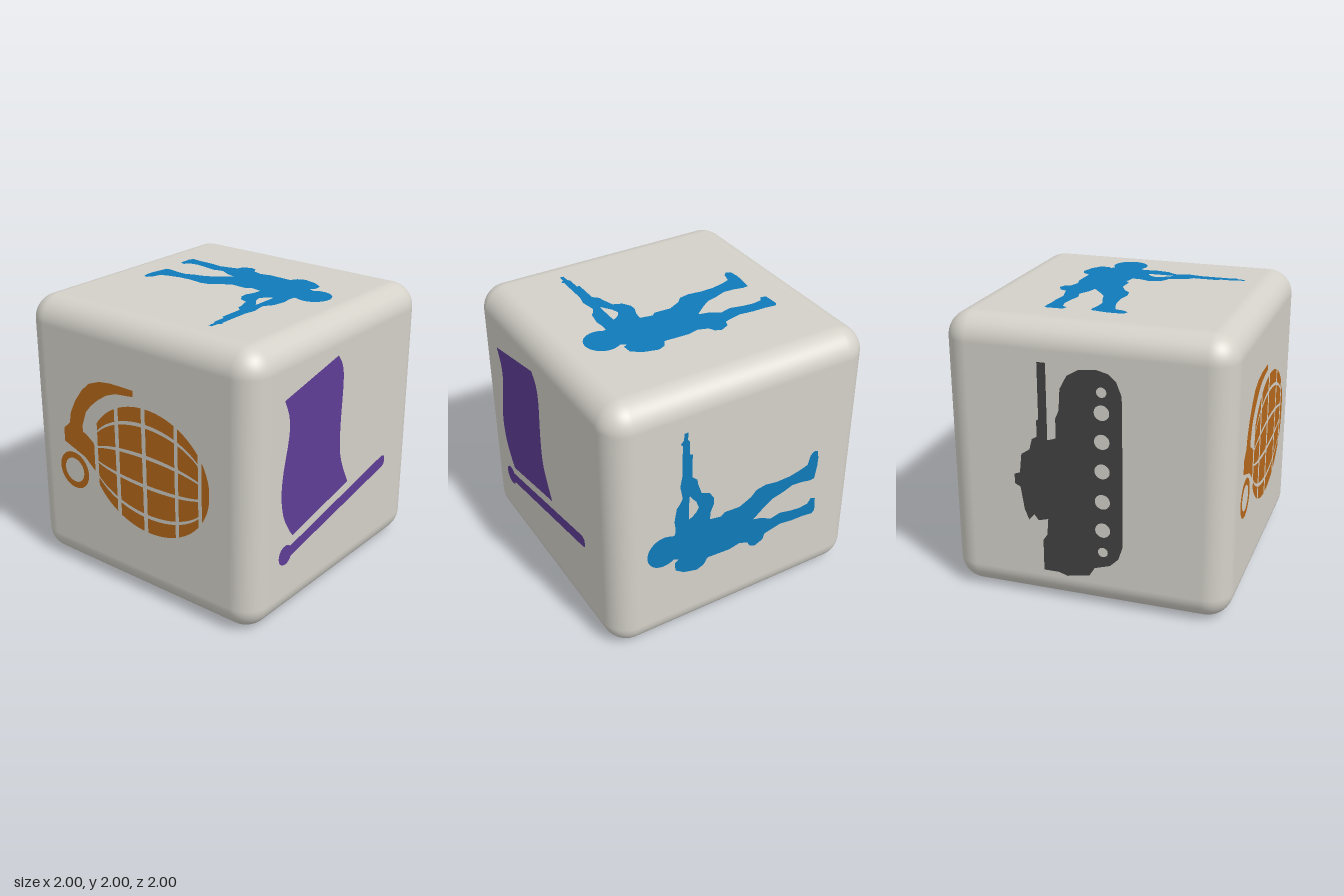
import * as THREE from 'three';
import { RoundedBoxGeometry } from 'three/addons/geometries/RoundedBoxGeometry.js';

const paint = (name, color) => {
  const m = new THREE.MeshStandardMaterial({ color });
  m.name = name;
  return m;
};

// Outline given in hundredths of a unit
const poly = (pts) => new THREE.Shape(pts.map(([x, y]) => new THREE.Vector2(x / 100, y / 100)));
const disc = (x, y, r, Kind = THREE.Shape) => new Kind().absarc(x, y, r, 0, Math.PI * 2, false);

function plate(group, name, shape, material) {
  const mesh = new THREE.Mesh(new THREE.ShapeGeometry(shape, 24), material);
  mesh.name = name;
  group.add(mesh);
}

// A painted face: local x is right, y is up, and the normal points out of the cube
function face(parent, name, rx, ry) {
  const pivot = new THREE.Group();
  pivot.name = name;
  pivot.rotation.set(rx, ry, 0);
  const group = new THREE.Group();
  group.position.z = 1;
  pivot.add(group);
  parent.add(pivot);
  return group;
}

function addFlag(g, mat) {
  // Waving cloth between two splined edges
  const edge = (pts) => new THREE.SplineCurve(pts.map(([x, y]) => new THREE.Vector2(x / 100, y / 100))).getPoints(24);
  const left = edge([[-67.4, 61.5], [-62.2, 49], [-62, 35], [-67.5, 11], [-69, -5], [-66.5, -20], [-60.5, -32], [-55.5, -39]]);
  const right = edge([[10, -25], [1.8, -8], [-1.6, 5], [-2, 24], [-0.6, 53], [-2.5, 66], [-8, 74.3]]);
  plate(g, 'flagCloth', new THREE.Shape([...left, ...right]), mat);
  plate(g, 'flagPole', poly([[-60, -46.5], [56, -22.4], [59, -23.5], [59.8, -27], [59.5, -30], [57, -31.5], [-60, -54.5]]), mat);
  plate(g, 'poleKnob', disc(-0.634, -0.508, 0.072), mat);
}

function addSoldier(g, mat) {
  const parts = {
    neck: [[-60, -10], [-50, -10], [-50, -33], [-54, -31], [-60, -33]],
    torso: [[-53, -10], [-26, -8], [-17, -9.6], [-14, -7], [-2, -7.5], [7, -3], [10, -24], [20, -30], [20.6, -41.7],
      [19, -46.5], [12.6, -49.3], [8.3, -47.6], [6, -43.3], [-1, -41], [-9, -42.8], [-27, -42], [-30, -47],
      [-35.5, -49.3], [-46, -46.5], [-52.7, -41.7], [-53.2, -34.8], [-50, -33]],
    rifleAndFrontArm: [[-46.8, 70.6], [-44, 70.6], [-44, 65], [-42.5, 62.5], [-42.5, 53], [-40.4, 52], [-40.4, 33.7],
      [-36.5, 30], [-35.5, 24], [-40, 21], [-42.5, 17.6], [-42.5, -10], [-53.2, -10], [-52.7, -5.3], [-53.7, 1.6],
      [-52, 11.8], [-49.5, 15], [-47.5, 18.7], [-49.5, 29.4], [-47.9, 37.4], [-47.9, 61.5], [-49.5, 63], [-47, 65.5]],
    rearArm: [[-40.4, 22.5], [-35.5, 25], [-33, 17.5], [-26.8, 15], [-23.3, 9.6], [-23, 4.3], [-25.4, -1.6], [-26, -9],
      [-46, -13], [-42.5, -1], [-40, 0], [-37, 2.7], [-35, 6.4], [-37, 11.8], [-40, 15.5], [-42, 18.7]],
    raisedLeg: [[-2, -7.5], [7, -3], [11.5, 1.6], [19, 3], [28.6, 1.6], [39, 2], [47, 3.7], [54, 6], [56, 13.4], [58.6, 16],
      [62, 15], [63, 9], [62.8, 2.7], [61, -8.6], [57, -9], [50, -7.5], [42, -7], [34, -10], [26, -12], [19, -16.6], [10, -24], [2, -24]],
    straightLeg: [[2, -24], [10, -24], [17, -25.7], [25, -30], [33, -28], [42, -30], [50, -31], [57, -30], [59.6, -26.2],
      [63.5, -27.5], [64, -38.5], [62, -41], [54, -40], [44, -39.8], [34, -38.5], [27.5, -40], [20.6, -41.7], [6, -43]],
  };
  for (const [name, pts] of Object.entries(parts)) plate(g, name, poly(pts), mat);
  plate(g, 'head', disc(-0.618, -0.21, 0.126), mat);
}

function addTank(g, mat) {
  // Turret, gun barrel and hull in one silhouette, standing on its tail
  const hull = poly([[-31, 73.7], [-25, 73.7], [-25, 20], [-19, 22], [-19, 36], [-16.5, 42], [-15.5, 57], [-10.5, 66.5], [-2, 71.5],
    [10, 72.5], [18, 70.5], [23, 66], [26.5, 57], [27, 50], [27, -51], [24, -60.5], [18, -66.5], [7, -70], [3, -76.5],
    [-13, -79.5], [-19, -77.5], [-30, -77.5], [-30, -54.5], [-27, -50], [-26, -38], [-33, -40], [-36, -36], [-40, -40.5],
    [-43, -33], [-45.5, -16.6], [-49.5, -14.5], [-49.5, -7.5], [-45.5, -6], [-44, 7.6], [-38, 11.8], [-36, 19.5],
    [-32.5, 21.5], [-32.5, 33], [-31, 34]]);
  // Road wheels are open holes
  [0.577, 0.437, 0.235, 0.025, -0.195, -0.405, -0.57].forEach((v, i) =>
    hull.holes.push(disc(0.13, v, i === 0 || i === 6 ? 0.035 : 0.053, THREE.Path)));
  plate(g, 'tank', hull, mat);
}

function addGrenade(g, mat) {
  // Oval body cut into cells that follow its bulge
  const cu = 0.12, cv = -0.03, a = 0.535, b = 0.46;
  const half = (u) => b * Math.sqrt(Math.max(0, 1 - ((u - cu) / a) ** 2));
  const rows = [[-1, -0.76], [-0.7, -0.27], [-0.21, 0.21], [0.27, 0.7], [0.76, 1]];
  const cell = (u0, u1, k0, k1) => {
    const pts = [];
    for (let i = 0; i <= 8; i++) {
      const u = u0 + ((u1 - u0) * i) / 8;
      pts.push(new THREE.Vector2(u, cv + k0 * half(u)));
    }
    for (let i = 8; i >= 0; i--) {
      const u = u0 + ((u1 - u0) * i) / 8;
      pts.push(new THREE.Vector2(u, cv + k1 * half(u) + 1e-5));
    }
    plate(g, 'bodyCell', new THREE.Shape(pts), mat);
  };
  for (const [u0, u1] of [[-0.34, -0.17], [-0.135, 0.075], [0.11, 0.36], [0.39, 0.56]])
    for (const [k0, k1] of rows) cell(u0, u1, k0, k1);
  cell(0.59, 0.65, -1, 1);

  plate(g, 'neck', poly([[-66.7, 8], [-60, 14.5], [-44.4, 9], [-37.5, 4], [-37.5, -17], [-47, -9], [-66.7, -2]]), mat);
  plate(g, 'safetyLever', poly([[-61, 12], [-59, 22], [-54, 32], [-47, 41.5], [-40, 48], [-30, 52], [-19, 53.5], [1, 53.5], [1, 49],
    [-15, 47], [-24, 43.5], [-32, 38], [-39, 32], [-44, 26], [-48, 15], [-48, 9]]), mat);
  const ring = disc(-0.583, -0.225, 0.14);
  ring.holes.push(disc(-0.583, -0.225, 0.092, THREE.Path));
  plate(g, 'pullRing', ring, mat);
}

function addStar(g, mat) {
  const ring = disc(0, 0, 0.755);
  ring.holes.push(disc(0, 0, 0.63, THREE.Path));
  plate(g, 'starRing', ring, mat);
  const pts = [];
  for (let i = 0; i < 10; i++) {
    const r = i % 2 ? 0.26 : 0.57, t = Math.PI / 2 + (i * Math.PI) / 5;
    pts.push(new THREE.Vector2(r * Math.cos(t), r * Math.sin(t)));
  }
  plate(g, 'star', new THREE.Shape(pts), mat);
}

export function createModel() {
  const model = new THREE.Group();
  model.name = 'battleDie';
  const die = new THREE.Group();
  die.name = 'die';
  die.position.y = 1;
  model.add(die);

  const body = new THREE.Mesh(new RoundedBoxGeometry(1.995, 1.995, 1.995, 8, 0.18), paint('stoneGrey', 0xd4d1c9));
  body.name = 'dieBody';
  die.add(body);

  const blue = paint('soldierBlue', 0x0f7aba);
  const q = Math.PI / 2;
  addFlag(face(die, 'frontFace', 0, 0), paint('flagPurple', 0x5f3d96));
  addSoldier(face(die, 'leftFace', 0, q), blue);
  addTank(face(die, 'backFace', 0, 2 * q), paint('tankGrey', 0x424242));
  addGrenade(face(die, 'rightFace', 0, -q), paint('grenadeOrange', 0xb8691a));
  addStar(face(die, 'bottomFace', q, 0), paint('starGreen', 0x077a2a));

  // Same soldier on top, turned a quarter
  const top = face(die, 'topFace', -q, 0);
  top.rotation.z = q;
  top.position.x = -0.015;
  top.position.y = 0.015;
  addSoldier(top, blue);

  return model;
}
